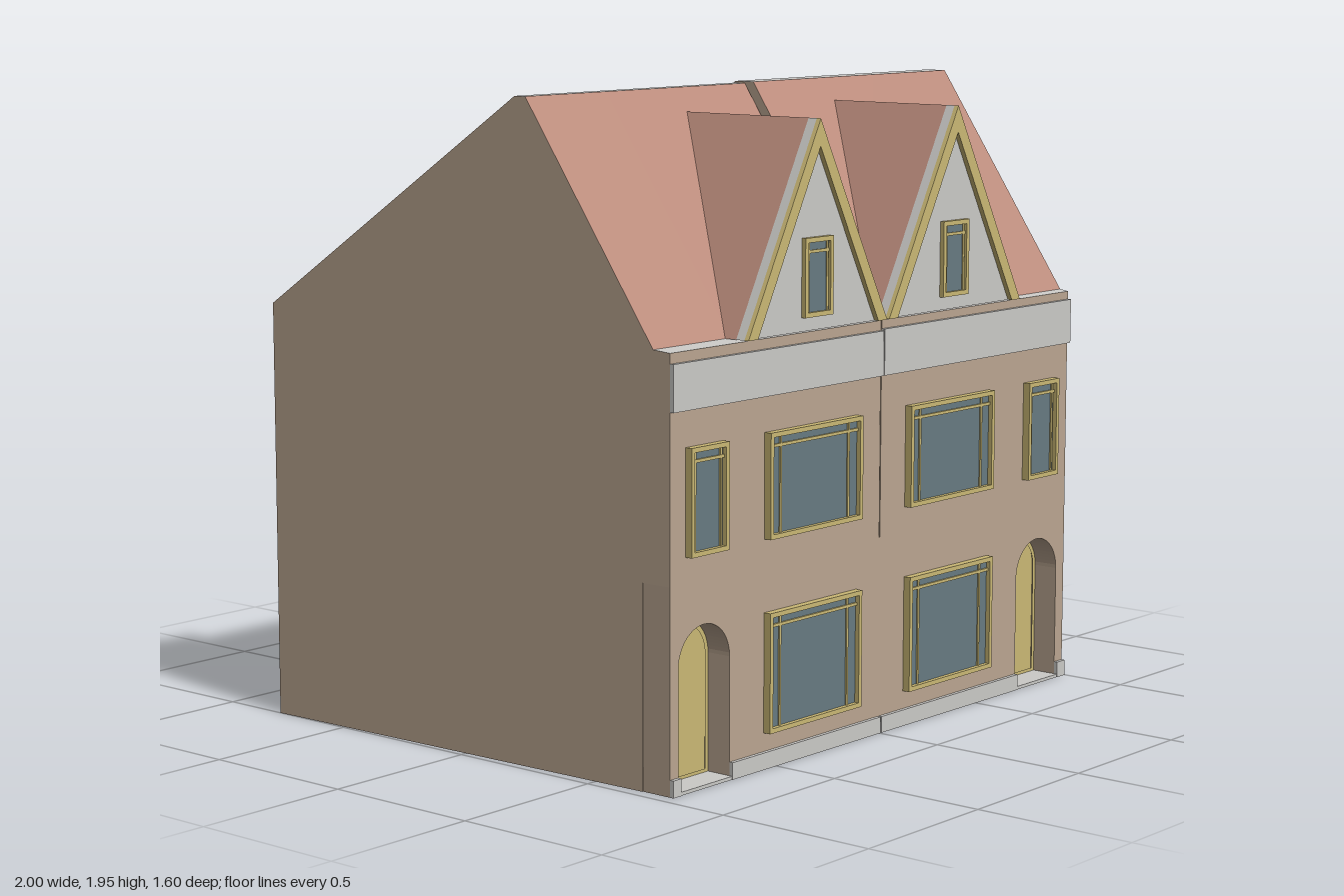
import * as THREE from 'three';

const mat = (name, color) => new THREE.MeshStandardMaterial({ name, color });

export function createModel() {
  const wall = mat('wall', 0xbba691), roof = mat('roof tile', 0xbd8d7d), white = mat('pale trim', 0xcbcac7);
  const yellow = mat('yellow woodwork', 0xcab875), glass = mat('glass', 0x687b82);
  const mats = [wall, roof, white];
  const model = new THREE.Group();
  model.name = 'pairOfHouses';

  const add = (name, geo, m, parent = model) => {
    const mesh = new THREE.Mesh(geo, m);
    mesh.name = name;
    parent.add(mesh);
    return mesh;
  };
  const box = (name, x0, x1, y0, y1, z0, z1, m, parent) => {
    const b = add(name, new THREE.BoxGeometry(x1 - x0, y1 - y0, z1 - z0), m, parent);
    b.position.set((x0 + x1) / 2, (y0 + y1) / 2, (z0 + z1) / 2);
    return b;
  };
  const poly = (pts) => new THREE.Shape(pts.map((p) => new THREE.Vector2(p[0], p[1])));
  const slab = (name, shape, z0, z1, m, parent) => {
    const geo = new THREE.ExtrudeGeometry(shape, { depth: z1 - z0, bevelEnabled: false, curveSegments: 16 });
    return add(name, geo.translate(0, 0, z0), m, parent);
  };

  // Prism along x from a (z, y) outline; edgeMats picks the material of each edge
  function prism(name, outline, x0, x1, edgeMats, place) {
    const pos = [], geo = new THREE.BufferGeometry();
    const put = (x, p) => pos.push(...place(x, p[1], p[0]));
    outline.forEach((a, i) => {
      const b = outline[(i + 1) % outline.length];
      geo.addGroup(pos.length / 3, 6, edgeMats[i]);
      put(x0, a); put(x1, a); put(x1, b);
      put(x0, a); put(x1, b); put(x0, b);
    });
    const start = pos.length / 3;
    const tris = THREE.ShapeUtils.triangulateShape(outline.map((p) => new THREE.Vector2(...p)), []);
    for (const [a, b, c] of tris) {
      for (const k of [a, b, c]) put(x0, outline[k]);
      for (const k of [c, b, a]) put(x1, outline[k]);
    }
    geo.addGroup(start, pos.length / 3 - start, 0);
    geo.setAttribute('position', new THREE.Float32BufferAttribute(pos, 3));
    geo.computeVertexNormals();
    add(name, geo, mats);
  }

  // House bodies: a shallow middle and a deeper rear wing each
  const SLOPE = 0.668, PORCH = 0.675, FRONT = 0.775;
  const profile = (back, ridgeZ, eaveZ, top) => [
    [back, 0], [PORCH, 0], [PORCH, 0.6], [FRONT, 0.6], [FRONT, 1.255], [eaveZ, 1.26],
    [ridgeZ, top], [0.21, top], [back, top - SLOPE * (0.21 - back)],
  ];
  const edges = [0, 0, 0, 0, 2, 1, 2, 1, 0];
  // the outer left wall runs slightly inward towards the front
  const skew = (x, y, z) => [x < -0.9 ? x + 0.04 * (z + 0.78) / 1.555 : x, y, z];
  prism('leftRearWing', profile(-0.78, 0.25, 0.715, 1.94), -1, -0.63, edges, skew);
  prism('leftHouse', profile(-0.595, 0.25, 0.715, 1.94), -0.63, 0.003, edges, skew);
  prism('rightHouse', profile(-0.6, 0.28, 0.745, 1.945), 0.007, 0.61, edges, skew);
  prism('rightRearWing', profile(-0.795, 0.28, 0.745, 1.945), 0.61, 0.998, edges, skew);

  // Ground floor front wall with arched porches
  const doors = [[-0.925, -0.7], [0.73, 0.955]];
  const arch = (path, x0, x1, y0, top) => {
    const r = (x1 - x0) / 2;
    path.lineTo(x0, y0);
    path.lineTo(x0, top - r);
    path.absarc((x0 + x1) / 2, top - r, r, Math.PI, 0, true);
    path.lineTo(x1, y0);
    return path;
  };
  const front = new THREE.Shape();
  front.moveTo(-0.96, 0);
  doors.forEach(([a, b]) => arch(front, a, b, 0, 0.472));
  front.lineTo(0.998, 0);
  front.lineTo(0.998, 0.6);
  front.lineTo(-0.96, 0.6);
  slab('groundFloorFront', front, PORCH, FRONT, wall);

  // Doors, door casings and porch steps
  doors.forEach(([a, b]) => {
    const g = new THREE.Group();
    g.name = 'door';
    model.add(g);
    const start = (x, y) => { const s = new THREE.Shape(); s.moveTo(x, y); return s; };
    slab('doorLeaf', arch(start(a, 0.01), a, b, 0.01, 0.472), PORCH, PORCH + 0.008, yellow, g);
    const casing = arch(start(a, 0.01), a, b, 0.01, 0.472);
    const hole = new THREE.Path();
    hole.moveTo(a + 0.014, 0.02);
    casing.holes.push(arch(hole, a + 0.014, b - 0.014, 0.02, 0.458));
    slab('doorCasing', casing, PORCH + 0.008, PORCH + 0.02, yellow, g);
    box('porchStep', a, b, 0, 0.01, PORCH, 0.785, white, g);
  });

  // Plinth and cornice
  for (const [a, b] of [[-0.96, -0.925], [-0.7, 0.003], [0.007, 0.73], [0.955, 0.998]])
    box('plinth', a, b, 0, 0.05, FRONT, 0.787, white);
  box('leftCornice', -0.96, 0.003, 1.09, 1.225, FRONT, 0.787, white);
  box('rightCornice', 0.007, 0.998, 1.09, 1.23, FRONT, 0.787, white);

  // Window: frame, pane and glazing bars; built facing +z, turned round for the rear
  function windowUnit(name, x0, x1, y0, y1, z, o) {
    const w = x1 - x0, h = y1 - y0, g = new THREE.Group(), t = o.frame, d = o.depth;
    g.name = name;
    model.add(g);
    const ring = poly([[-w / 2, 0], [w / 2, 0], [w / 2, h], [-w / 2, h]]);
    const u = w / 2 - t, top = h - (o.lintel || t);
    ring.holes.push(poly([[-u, t], [-u, top], [u, top], [u, t]]));
    slab('windowFrame', ring, 0, d, yellow, g);
    box('windowPane', -u, u, t, top, 0, d * 0.4, glass, g);
    if (o.bars) {
      for (const s of [-1, 1]) {
        const c = s * (w / 2 - o.inset);
        box('verticalBar', c - 0.004, c + 0.004, t, top, 0, d * 0.6, yellow, g);
      }
      box('transomBar', -u, u, h - 0.045, h - 0.036, 0, d * 0.65, yellow, g);
    }
    g.position.set((x0 + x1) / 2, y0, z);
    if (o.rear) g.rotation.y = Math.PI;
  }

  // Front windows
  const big = { frame: 0.014, depth: 0.024, bars: true, inset: 0.058 };
  const small = { ...big, inset: 0.026 };
  for (const [a, b] of [[-0.545, -0.11], [0.13, 0.565]]) {
    windowUnit('lowerFrontWindow', a, b, 0.105, 0.46, FRONT, big);
    windowUnit('upperFrontWindow', a, b, 0.675, 0.985, FRONT, big);
  }
  windowUnit('leftSmallWindow', -0.895, -0.73, 0.675, 0.985, FRONT, small);
  windowUnit('rightSmallWindow', 0.755, 0.922, 0.675, 0.985, FRONT, small);

  // Rear windows: x range and wall depth
  const rear = { frame: 0.01, depth: 0.005, lintel: 0.022, rear: true };
  const rearSpots = [
    [-0.905, -0.715, -0.78], [-0.58, -0.385, -0.595], [-0.265, -0.065, -0.595],
    [0.035, 0.23, -0.6], [0.365, 0.56, -0.6], [0.71, 0.905, -0.795],
  ];
  for (const [a, b, z] of rearSpots)
    for (const y of [0.145, 0.68]) windowUnit('rearWindow', a, b, y, y + 0.31, z, rear);

  // Dormers: tiled sides running into the main roof, gable board, barge boards
  const dormers = [[-0.325, 0.325, 1.87, 0.298, 0.715], [0.35, 0.34, 1.877, 0.327, 0.745]];
  for (const [cx, hw, top, backZ, eaveZ] of dormers) {
    const g = new THREE.Group();
    g.name = 'dormer';
    model.add(g);
    const base = 1.26, f = 0.755;
    const A = [cx, top, f], B = [cx, top, backZ];
    const L = [cx - hw, base, f], R = [cx + hw, base, f];
    const l = [cx - hw, base, eaveZ], r = [cx + hw, base, eaveZ];
    const geo = new THREE.BufferGeometry();
    const tris = [A, B, l, A, l, L, A, r, B, A, R, r];
    geo.setAttribute('position', new THREE.Float32BufferAttribute(tris.flat(), 3));
    geo.computeVertexNormals();
    add('dormerRoof', geo, roof, g);
    slab('gableBoard', poly([[cx - hw, base], [cx + hw, base], [cx, top]]), f, 0.785, white, g);
    const iw = hw - 0.043, it = top - 0.08;
    slab('bargeBoards', poly([[cx - hw, base], [cx - iw, base], [cx, it], [cx + iw, base], [cx + hw, base], [cx, top]]),
      0.785, 0.8, yellow, g);
    windowUnit('gableWindow', cx - 0.066, cx + 0.066, 1.3, 1.53, 0.785, { ...small, depth: 0.014, inset: 0.022 });
  }
  return model;
}
